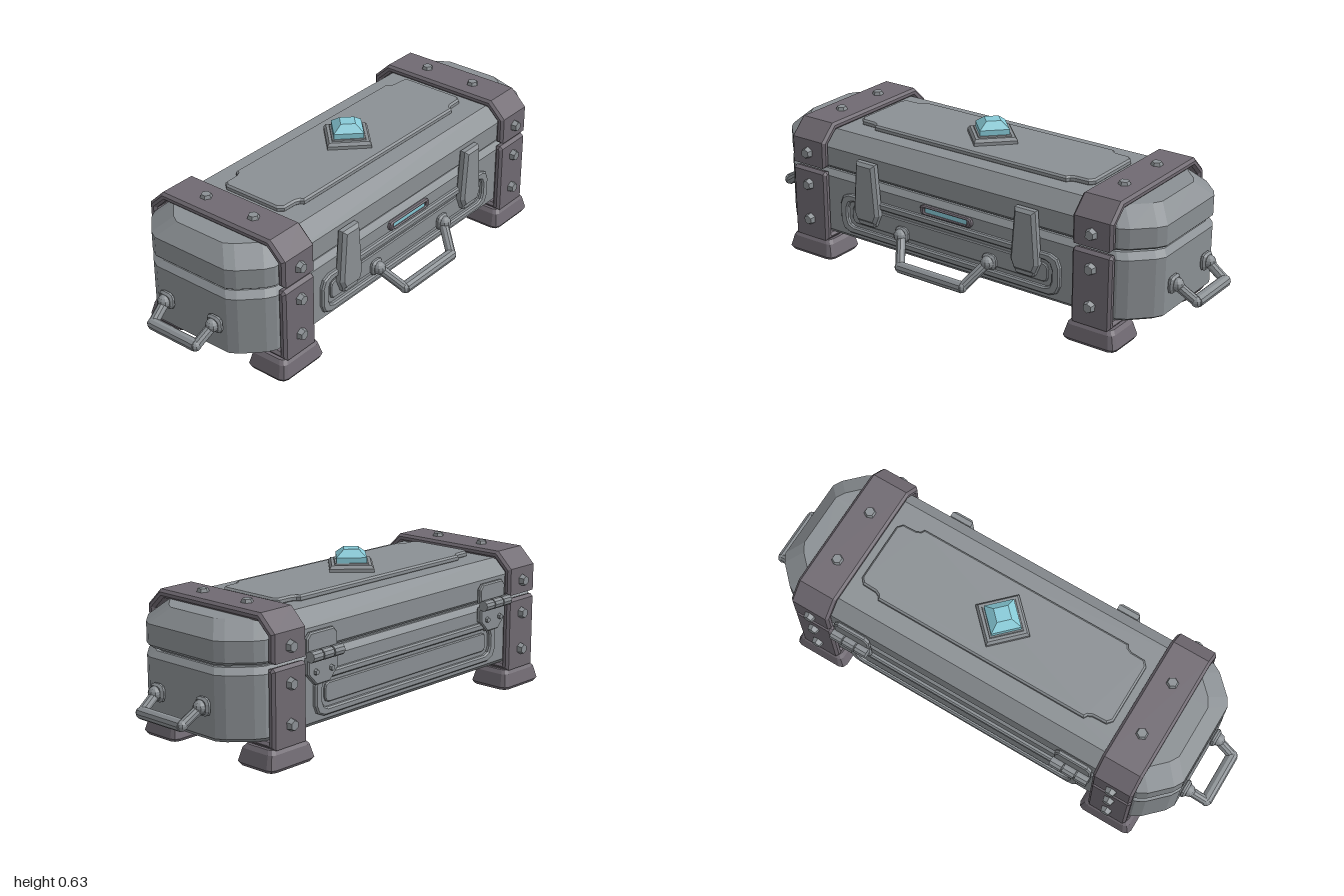
import * as THREE from 'three';

const mat = (name, color) => Object.assign(new THREE.MeshStandardMaterial({ color, flatShading: true }), { name });
const steel = mat('steel grey', 0x8b9094);
const iron = mat('dark iron', 0x706a72);
const crystal = mat('pale teal crystal', 0x88cbd8);
const CZ = -0.037; // depth centre of the case

function add(parent, name, geometry, material, x = 0, y = 0, z = 0) {
  const mesh = new THREE.Mesh(geometry, material);
  mesh.name = name;
  mesh.position.set(x, y, z);
  parent.add(mesh);
  return mesh;
}

// Bevelled plate from an outline, centred on z = 0
function slab(points, depth, bevel, hole) {
  const toV = p => p.map(([x, y]) => new THREE.Vector2(x, y));
  const shape = new THREE.Shape(toV(points));
  if (hole) shape.holes.push(new THREE.Path(toV(hole)));
  const g = new THREE.ExtrudeGeometry(shape, {
    depth: depth - 2 * bevel, bevelEnabled: bevel > 0, bevelThickness: bevel,
    bevelSize: bevel, bevelOffset: -bevel, bevelSegments: 1,
  });
  return g.translate(0, 0, -depth / 2 + bevel);
}

// Mirror a quarter outline (from +x axis side to +y axis side) into a full loop
function quarter(q) {
  const r = [...q].reverse();
  return [...q, ...r.map(([x, y]) => [-x, y]), ...q.map(([x, y]) => [-x, -y]), ...r.map(([x, y]) => [x, -y])];
}
const cutRect = (w, h, c) => quarter([[w, h - c], [w - c * 0.3, h - c * 0.3], [w - c, h]]);

// Closed solid lofted through rings of equal length
function loft(rings) {
  const pos = rings.flat(2), idx = [], n = rings[0].length, last = (rings.length - 1) * n;
  for (let r = 0; r < rings.length - 1; r++)
    for (let i = 0; i < n; i++) {
      const a = r * n + i, b = r * n + (i + 1) % n;
      idx.push(a, a + n, b, b, a + n, b + n);
    }
  for (let i = 1; i < n - 1; i++) idx.push(0, i, i + 1, last, last + i + 1, last + i);
  const g = new THREE.BufferGeometry();
  g.setAttribute('position', new THREE.Float32BufferAttribute(pos, 3));
  g.setIndex(idx);
  const flat = g.toNonIndexed();
  flat.computeVertexNormals();
  return flat;
}

// Case cross-section with chamfered corners, shrunk by an inset
function caseRing(y, inset) {
  const w = 0.88 - inset, d = 0.293 - inset;
  return quarter([[w, d - 0.125], [w - 0.02, d - 0.09], [w - 0.09, d - 0.02], [w - 0.125, d]])
    .map(([x, z]) => [x, y, z]);
}
const rectRing = (y, w, d, c) => cutRect(w, d, c).map(([x, z]) => [x, y, z]);

function rod(parent, name, a, b, r, material, sides = 10) {
  const A = new THREE.Vector3(...a), B = new THREE.Vector3(...b), d = B.clone().sub(A);
  const m = add(parent, name, new THREE.CylinderGeometry(r, r, d.length(), sides), material);
  m.position.copy(A).add(B).multiplyScalar(0.5);
  m.quaternion.setFromUnitVectors(new THREE.Vector3(0, 1, 0), d.normalize());
  return m;
}

// Faceted stud pointing along +z
const studGeo = (r, h) => new THREE.CylinderGeometry(r * 0.75, r, h, 6).rotateX(Math.PI / 2);

// Drop handle facing +z: bar along x between two mounts
function makeHandle(name, mountX, mountY, barX, barY, barZ, plate) {
  const g = new THREE.Group();
  g.name = name;
  for (const s of [-1, 1]) {
    add(g, 'handleMount', slab(cutRect(plate, plate, plate * 0.6), 0.024, 0.008), steel, s * mountX, mountY, 0.008);
    add(g, 'handleKnob', new THREE.SphereGeometry(0.026, 10, 8), steel, s * mountX, mountY, 0.022);
    rod(g, 'handleArm', [s * mountX, mountY, 0.015], [s * barX, barY, barZ], 0.019, steel);
    add(g, 'handleJoint', new THREE.SphereGeometry(0.021, 10, 8), steel, s * barX, barY, barZ);
  }
  rod(g, 'handleGrip', [-barX, barY, barZ], [barX, barY, barZ], 0.023, steel);
  return g;
}

function makeStrap(x) {
  const g = new THREE.Group();
  g.name = 'strap';
  g.position.x = x;
  const side = p => slab(p, 0.168, 0.01).rotateY(-Math.PI / 2);
  const mirror = half => [...half, ...[...half].reverse().map(([z, y]) => [-z, y])];
  const lower = [...mirror([[-0.325, 0.36], [-0.325, 0.076]]),
    ...mirror([[0.325, 0.36], [0.312, 0.371], [0.292, 0.365], [0.292, 0.1]]).slice(1, 7)];
  const upper = [...mirror([[0.325, 0.387], [0.325, 0.495], [0.258, 0.56]]),
    ...mirror([[-0.293, 0.387], [-0.293, 0.482], [-0.245, 0.528]])];
  add(g, 'lowerStrap', side(lower), iron);
  add(g, 'upperStrap', side(upper), iron);
  // Studs on the front, back and top
  for (const y of [0.155, 0.305, 0.44])
    for (const s of [-1, 1]) {
      const stud = add(g, 'strapStud', studGeo(0.025, 0.022), steel, 0, y, s * 0.334);
      if (s < 0) stud.rotation.y = Math.PI;
    }
  for (const s of [-1, 1])
    add(g, 'strapStud', studGeo(0.025, 0.016), steel, 0, 0.565, s * 0.114).rotation.x = -Math.PI / 2;
  // Tapered feet
  for (const s of [-1, 1])
    add(g, 'foot', loft([rectRing(0, 0.108, 0.084, 0.025), rectRing(0.012, 0.115, 0.091, 0.025),
      rectRing(0.062, 0.1, 0.079, 0.02), rectRing(0.077, 0.088, 0.068, 0.02)]), iron, 0, 0, s * 0.25);
  return g;
}

function makeHinge(x) {
  const g = new THREE.Group();
  g.name = 'hinge';
  g.position.set(x, 0, 0.295);
  [-1, 0, 1].forEach(i => rod(g, 'hingeBarrel', [i * 0.055 - 0.025, 0.378, 0.033],
    [i * 0.055 + 0.025, 0.378, 0.033], 0.021, steel));
  rod(g, 'hingePin', [-0.08, 0.378, 0.033], [0.08, 0.378, 0.033], 0.012, steel);
  add(g, 'upperLeaf', slab([[-0.078, 0.385], [0.078, 0.385], [0.078, 0.44], [0.06, 0.46], [-0.06, 0.46], [-0.078, 0.44]], 0.02, 0.005), steel, 0, 0, 0.008);
  add(g, 'lowerLeaf', slab([[-0.078, 0.37], [-0.078, 0.31], [-0.035, 0.265], [0.035, 0.265], [0.078, 0.31], [0.078, 0.37]], 0.024, 0.005), steel, 0, 0, 0.01);
  for (const s of [-1, 1]) add(g, 'hingeStud', studGeo(0.013, 0.012), steel, s * 0.04, 0.315, 0.026);
  return g;
}

export function createModel() {
  const model = new THREE.Group();
  model.name = 'chest';
  const chest = new THREE.Group();
  chest.name = 'case';
  chest.position.z = CZ;
  model.add(chest);

  // Shell
  add(chest, 'lowerCase', loft([caseRing(0.1, 0.022), caseRing(0.12, 0), caseRing(0.35, 0), caseRing(0.372, 0.02)]), steel);
  add(chest, 'seam', loft([caseRing(0.365, 0.03), caseRing(0.395, 0.03)]), steel);
  add(chest, 'lid', loft([caseRing(0.383, 0.012), caseRing(0.395, 0), caseRing(0.472, 0), caseRing(0.531, 0.058)]), steel);

  // Lid panel with stepped corners
  const panel = quarter([[0.55, 0.125], [0.532, 0.146], [0.475, 0.148], [0.458, 0.156], [0.45, 0.17]].map(([x, z]) => [x, z - 0.003]));
  add(chest, 'lidPanel', slab(panel, 0.026, 0.007).rotateX(-Math.PI / 2), steel, 0, 0.54, 0);

  // Crystal on its two-tier diamond base
  const diamond = (y, r) => [[r, y, 0], [0, y, r], [-r, y, 0], [0, y, -r]];
  add(chest, 'crystalBase', loft([diamond(0.55, 0.12), diamond(0.566, 0.12), diamond(0.578, 0.108)]), steel);
  add(chest, 'crystalCollar', loft([diamond(0.575, 0.094), diamond(0.583, 0.09)]), steel);
  add(chest, 'crystal', loft([diamond(0.578, 0.082), diamond(0.604, 0.082), diamond(0.631, 0.04)]), crystal);

  // Straps, feet and end handles
  for (const s of [-1, 1]) {
    chest.add(makeStrap(s * 0.665));
    const h = makeHandle('endHandle', 0.118, 0.23, 0.106, 0.178, 0.097, 0.034);
    h.position.x = s * 0.88;
    h.rotation.y = s * Math.PI / 2;
    chest.add(h);
  }

  // Front and back raised panel frames
  const front = new THREE.Group(), back = new THREE.Group();
  front.name = 'frontFittings';
  back.name = 'backFittings';
  back.rotation.y = Math.PI;
  chest.add(front, back);
  for (const face of [front, back]) {
    add(face, 'panelFrame', slab(cutRect(0.52, 0.082, 0.045), 0.024, 0.006, cutRect(0.485, 0.054, 0.03)), steel, 0, 0.219, 0.297);
    add(face, 'panelInset', slab(cutRect(0.465, 0.038, 0.02), 0.012, 0.004), steel, 0, 0.219, 0.295);
  }

  // Front latches
  const latch = [[-0.045, 0.46], [-0.062, 0.25], [-0.045, 0.212], [0.045, 0.212], [0.062, 0.25], [0.045, 0.46]].reverse();
  for (const s of [-1, 1]) {
    add(front, 'latch', slab(latch, 0.044, 0.012), steel, s * 0.375, 0, 0.31);
    add(front, 'latchCatch', slab(cutRect(0.045, 0.02, 0.015), 0.03, 0.006), steel, s * 0.375, 0.215, 0.308);
    back.add(makeHinge(s * 0.49));
  }

  // Glowing slot
  add(front, 'slotFrame', slab(cutRect(0.122, 0.019, 0.015), 0.022, 0.005, cutRect(0.1, 0.01, 0.006)), iron, 0, 0.328, 0.298);
  add(front, 'slotLight', new THREE.BoxGeometry(0.2, 0.02, 0.008), crystal, 0, 0.328, 0.297);

  // Front handle
  const grip = makeHandle('frontHandle', 0.208, 0.2, 0.148, 0.111, 0.1, 0.031);
  grip.position.z = 0.299;
  front.add(grip);
  return model;
}
